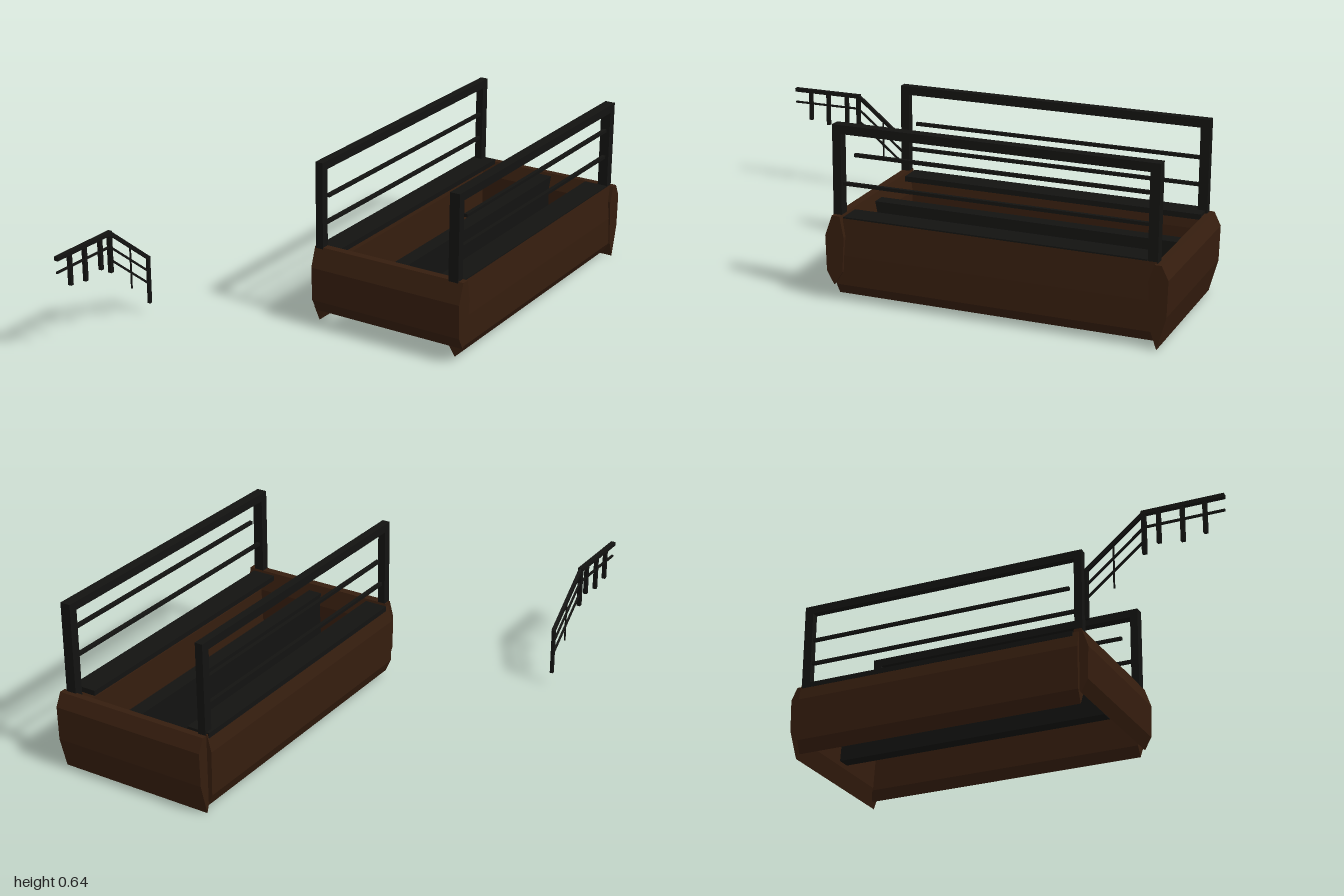
import * as THREE from 'three';

const wood = new THREE.MeshStandardMaterial({ color: 0x351d0e, flatShading: true });
const iron = new THREE.MeshStandardMaterial({ color: 0x131311, flatShading: true });

export function createModel() {
  const root = new THREE.Group();

  function group(name) {
    const g = new THREE.Group();
    g.name = name;
    root.add(g);
    return g;
  }

  // Box given by its extents on each axis
  function box(parent, name, [x0, x1], [y0, y1], [z0, z1]) {
    const m = new THREE.Mesh(new THREE.BoxGeometry(x1 - x0, y1 - y0, z1 - z0), iron);
    m.position.set((x0 + x1) / 2, (y0 + y1) / 2, (z0 + z1) / 2);
    m.name = name;
    parent.add(m);
    return m;
  }

  // Rectangular bar between two (z, y) points in the plane x
  function bar(parent, name, x, [z0, y0], [z1, y1], w, h) {
    const m = new THREE.Mesh(new THREE.BoxGeometry(w, h, Math.hypot(z1 - z0, y1 - y0)), iron);
    m.position.set(x, (y0 + y1) / 2, (z0 + z1) / 2);
    m.rotation.x = -Math.atan2(y1 - y0, z1 - z0);
    m.name = name;
    parent.add(m);
  }

  // Plank with a bulged cross-section, run along z or, if turned, along x
  function plank(name, profile, from, to, alongX) {
    const shape = new THREE.Shape(profile.map(([a, y]) => new THREE.Vector2(alongX ? -a : a, y)));
    const geo = new THREE.ExtrudeGeometry(shape, { depth: to - from, bevelEnabled: false });
    geo.translate(0, 0, from);
    if (alongX) geo.rotateY(Math.PI / 2);
    const m = new THREE.Mesh(geo, wood);
    m.name = name;
    root.add(m);
  }

  // Four walls of the open frame
  plank('frontWall', [[0.235, 0.317], [0.262, 0.24], [0.258, 0.11], [0.23, 0.06],
    [0.197, 0.11], [0.19, 0.24], [0.205, 0.317]], -0.025, 0.6, true);
  plank('backWall', [[-0.975, 0.3], [-1, 0.25], [-0.997, 0.12], [-0.965, 0],
    [-0.94, 0.07], [-0.93, 0.24], [-0.95, 0.3]], -0.022, 0.595, true);
  plank('rightWall', [[-0.025, 0.305], [-0.041, 0.24], [-0.038, 0.07], [-0.015, 0.02],
    [0.01, 0.07], [0.015, 0.24], [0.005, 0.305]], -0.955, 0.225, false);
  plank('leftWall', [[0.58, 0.305], [0.59, 0.17], [0.59, 0.06], [0.565, 0.02],
    [0.54, 0.06], [0.54, 0.24], [0.55, 0.305]], -0.955, 0.225, false);

  // Ledges along the side walls and the deep centre beam
  const deck = group('deck');
  box(deck, 'rightLedge', [-0.03, 0.06], [0.29, 0.31], [-0.95, 0.2]);
  box(deck, 'leftLedge', [0.485, 0.58], [0.29, 0.31], [-0.92, 0.2]);
  box(deck, 'centreBeam', [0.265, 0.32], [0.09, 0.29], [-0.975, 0.2]);

  // Side railings: two posts, a top rail and two thin bars each
  const railings = [
    { name: 'rightRailing', x: [-0.02, 0.01], bars: [[0.5, 0.18], [0.4, 0.2]] },
    { name: 'leftRailing', x: [0.54, 0.58], bars: [[0.537, 0.16], [0.428, 0.21]] },
  ];
  for (const { name, x, bars } of railings) {
    const g = group(name);
    box(g, 'frontPost', x, [0.28, 0.645], [0.205, 0.237]);
    box(g, 'backPost', x, [0.26, 0.645], [-0.957, -0.922]);
    box(g, 'topRail', x, [0.613, 0.645], [-0.957, 0.237]);
    const mid = (x[0] + x[1]) / 2;
    for (const [y, z] of bars) box(g, 'thinBar', [mid - 0.007, mid + 0.007], [y - 0.006, y + 0.006], [-0.94, z]);
  }

  // Separate stair handrail: a level run followed by a slope
  const stair = group('stairRailing');
  const X = -0.595;
  bar(stair, 'levelRail', X, [1, 0.403], [0.705, 0.403], 0.018, 0.015);
  bar(stair, 'levelBar', X, [1, 0.35], [0.705, 0.35], 0.008, 0.007);
  bar(stair, 'slopedRail', X, [0.712, 0.404], [0.495, 0.229], 0.012, 0.014);
  for (const drop of [0.055, 0.105])
    bar(stair, 'slopedBar', X, [0.71, 0.403 - drop], [0.495, 0.229 - drop], 0.007, 0.007);
  for (const [z, y0, y1, w] of [[0.93, 0.28, 0.4, 0.014], [0.85, 0.267, 0.4, 0.014],
    [0.765, 0.28, 0.4, 0.014], [0.712, 0.25, 0.4, 0.015], [0.6, 0.145, 0.315, 0.005],
    [0.5, 0.05, 0.23, 0.012]])
    bar(stair, 'railPost', X, [z, y0], [z, y1], w, w);

  return root;
}
